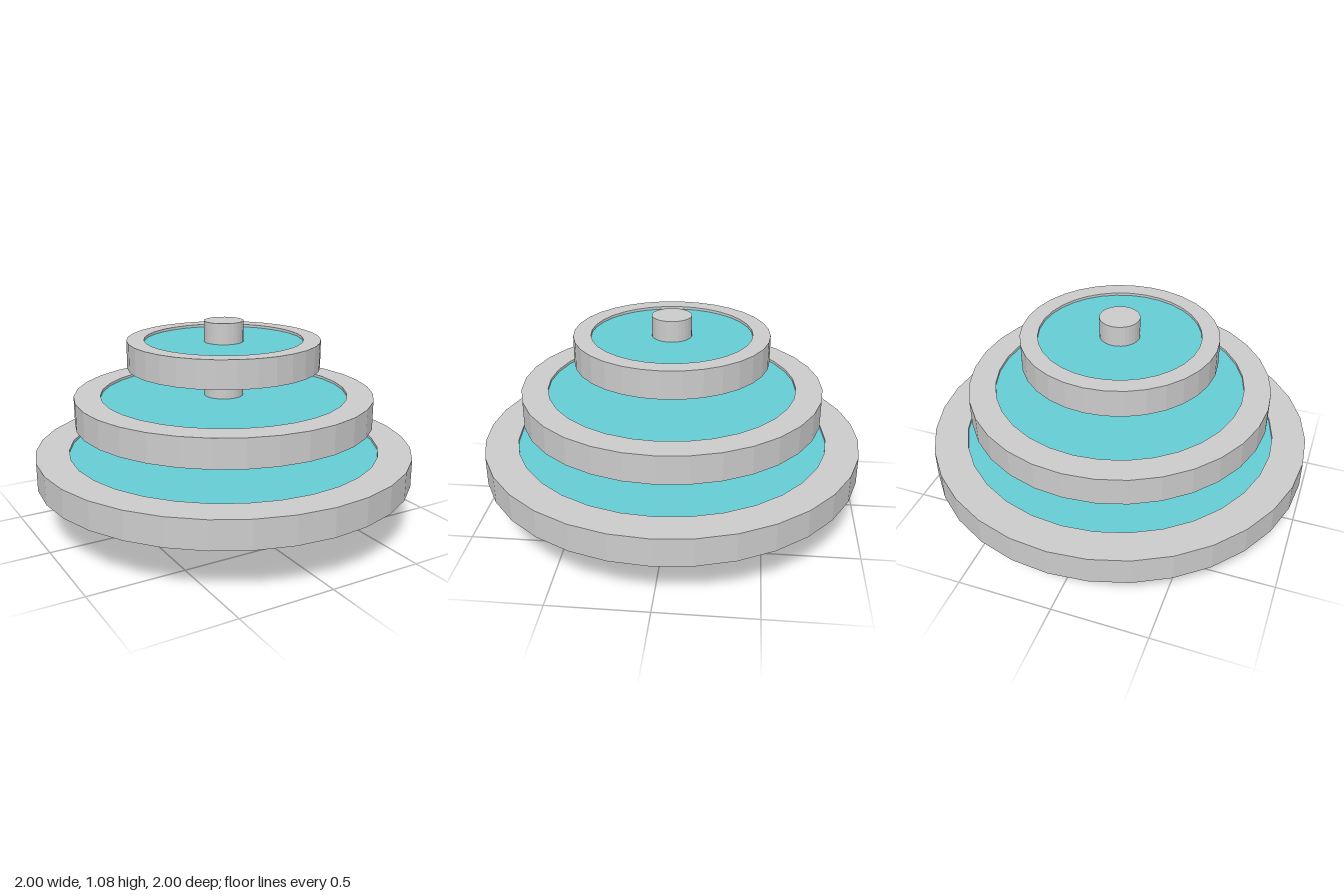
import * as THREE from 'three';

const SIDES = 32;
const stone = new THREE.MeshStandardMaterial({ color: 0xcccccc, flatShading: true });
const water = new THREE.MeshStandardMaterial({ color: 0x66ccd4 });

// Round basin with a closed underside and a shallow pool just below its rim
function makeTier(name, outer, inner, bottom, top) {
  const tier = new THREE.Group();
  tier.name = name;
  const level = top - 0.014;

  const profile = [
    [0, bottom], [outer, bottom], [outer, top], [inner, top], [inner, level - 0.03], [0, level - 0.03],
  ].map(([r, y]) => new THREE.Vector2(r, y));
  const basin = new THREE.Mesh(new THREE.LatheGeometry(profile, SIDES), stone);
  basin.name = 'basin';

  const pool = new THREE.Mesh(new THREE.CircleGeometry(inner, SIDES), water);
  pool.name = 'water';
  pool.rotation.x = -Math.PI / 2;
  pool.position.y = level;

  tier.add(basin, pool);
  return tier;
}

export function createModel() {
  const fountain = new THREE.Group();
  fountain.name = 'tieredFountain';

  // Central column through all tiers
  const height = 1.08;
  const column = new THREE.Mesh(new THREE.CylinderGeometry(0.103, 0.103, height, SIDES), stone);
  column.name = 'column';
  column.position.y = height / 2;
  fountain.add(column);

  // Tiers: outer radius, pool radius, bottom, top
  fountain.add(
    makeTier('lowerTier', 1, 0.825, 0.257, 0.404),
    makeTier('middleTier', 0.788, 0.65, 0.55, 0.698),
    makeTier('upperTier', 0.505, 0.415, 0.84, 0.985),
  );
  return fountain;
}
